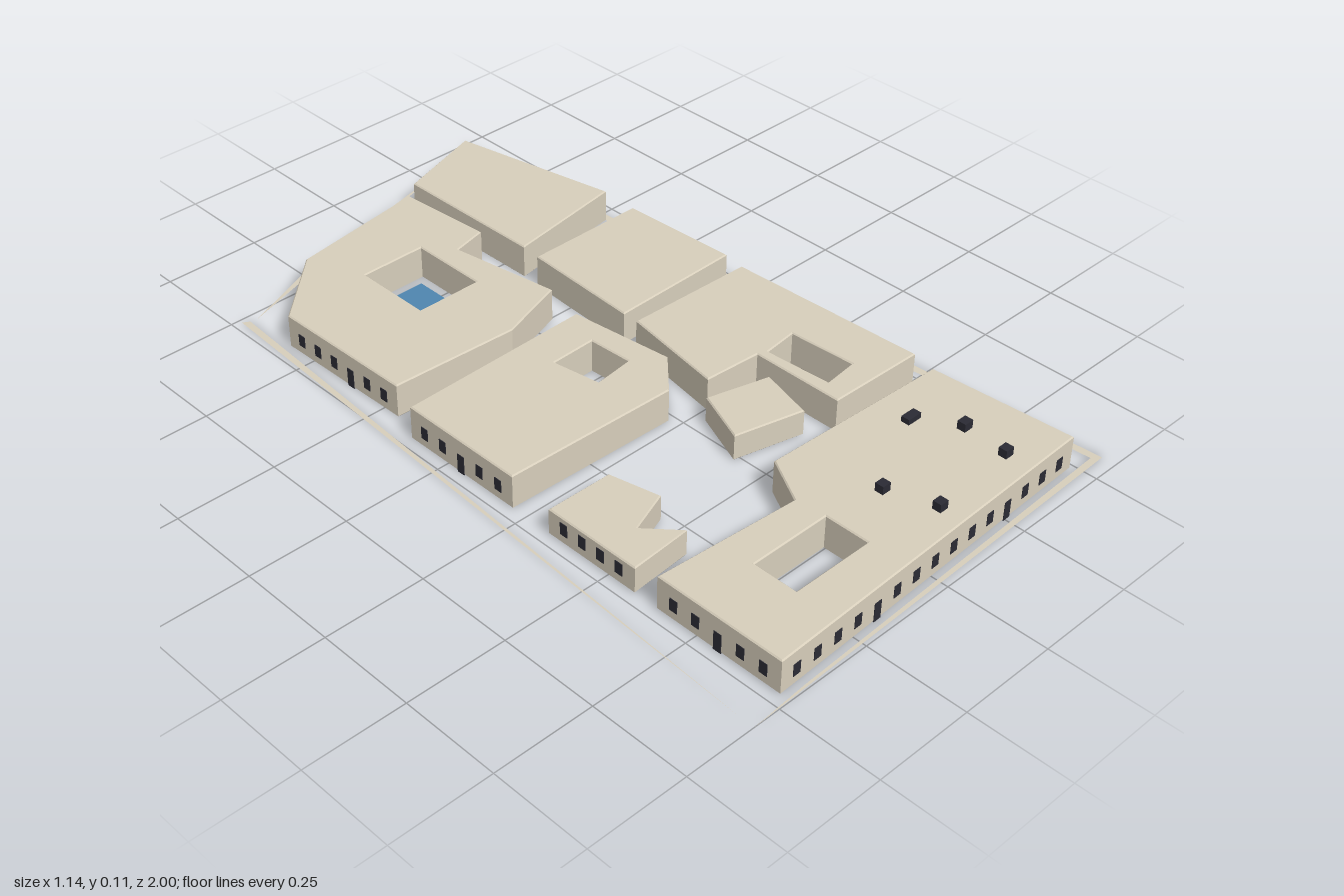
import * as THREE from 'three';

const stone = new THREE.MeshStandardMaterial({ color: 0xd8cfbc, side: THREE.DoubleSide });
stone.name = 'stone';
const dark = new THREE.MeshStandardMaterial({ color: 0x2b2b34 });
dark.name = 'dark openings';
const water = new THREE.MeshStandardMaterial({ color: 0x4f86b0 });
water.name = 'pool water';

const H = 0.088, LOW = 0.068, BEVEL = 0.003;

// Plan outlines as [x, z]; windows lists the edges (by start corner) on the street side
const blocks = [
  { name: 'poolHouse', h: H, windows: [0, 1, 7],
    plan: [[-.452, -.582], [-.277, -.742], [.083, -.794], [.103, -.545], [.013, -.524], [.059, -.243], [-.117, -.185], [-.444, -.201]],
    court: [[-.217, -.592], [-.047, -.592], [-.047, -.39], [-.217, -.39]] },
  { name: 'backRightHouse', h: H, windows: [0, 1],
    plan: [[.128, -.83], [.361, -.904], [.451, -.471], [.133, -.423]] },
  { name: 'squareHouse', h: H, windows: [1],
    plan: [[.128, -.37], [.446, -.37], [.461, -.063], [.112, -.055]] },
  { name: 'cornerHouse', h: H, windows: [1],
    plan: [[.112, -.015], [.451, -.005], [.474, .509], [.218, .504], [.218, .265], [.069, .255]],
    court: [[.243, .275], [.334, .265], [.344, .435], [.254, .445]] },
  { name: 'middleLeftHouse', h: H, windows: [4],
    plan: [[-.471, -.121], [.033, -.132], [.065, .133], [-.021, .224], [-.471, .211]],
    court: [[-.132, -.026], [-.015, -.029], [-.009, .083], [-.112, .095]] },
  { name: 'notchedHouse', h: LOW, windows: [5],
    plan: [[-.471, .323], [-.301, .325], [-.272, .452], [-.38, .492], [-.312, .567], [-.471, .578]] },
  { name: 'smallHouse', h: LOW, windows: [],
    plan: [[.038, .281], [.196, .323], [.159, .462], [-.017, .419]] },
  { name: 'frontHall', h: H, windows: [3, 4, 5],
    plan: [[-.471, .641], [-.101, .668], [-.037, .552], [.46, .572], [.486, .938], [-.471, .975]],
    court: [[-.305, .748], [-.093, .748], [-.093, .86], [-.305, .86]] },
];

// Flat strips that trace the site boundary
const strips = [
  [[-.477, -.74], [-.46, -.73], [-.569, .96]],
  [[-.444, -.726], [-.228, -.813], [.397, -.965], [-.223, -.796]],
  [[.421, -.973], [.433, -1], [.438, -.99], [.569, .964], [.549, .948], [.448, -.55]],
  [[.569, .964], [-.569, 1], [-.42, .989], [.549, .948]],
];

const toPoints = (plan) => plan.map(([x, z]) => new THREE.Vector2(x, -z));

function addMesh(parent, name, geometry, material) {
  const mesh = new THREE.Mesh(geometry, material);
  mesh.name = name;
  parent.add(mesh);
  return mesh;
}

function addBox(parent, name, material, size, position, turn = 0) {
  const mesh = addMesh(parent, name, new THREE.BoxGeometry(...size), material);
  mesh.position.set(...position);
  mesh.rotation.y = turn;
}

// Evenly spaced windows along a wall, with a door in the middle or two on a long wall
function addOpenings(parent, [ax, az], [bx, bz]) {
  const dx = bx - ax, dz = bz - az;
  const length = Math.hypot(dx, dz), margin = 0.046;
  const count = Math.max(2, Math.round((length - 2 * margin) / 0.06) + 1);
  const doors = count > 12 ? [3, 10] : [Math.floor((count - 1) / 2)];
  for (let i = 0; i < count; i++) {
    const t = (margin + (length - 2 * margin) * i / (count - 1)) / length;
    const isDoor = count > 4 && doors.includes(i);
    const [bottom, top] = isDoor ? [0, 0.048] : [0.023, 0.054];
    addBox(parent, isDoor ? 'door' : 'window', dark, [0.021, top - bottom, 0.003],
      [ax + dx * t, (bottom + top) / 2, az + dz * t], Math.atan2(-dz, dx));
  }
}

// Block with softly chamfered roof edges; the court outline runs opposite to the plan
function buildBlock({ name, h, windows, plan, court }) {
  const group = new THREE.Group();
  group.name = name;
  const shape = new THREE.Shape(toPoints(plan));
  if (court) shape.holes.push(new THREE.Path(toPoints(court).reverse()));
  const body = new THREE.ExtrudeGeometry(shape, {
    depth: h - 2 * BEVEL, bevelSize: BEVEL, bevelThickness: BEVEL, bevelOffset: -BEVEL, bevelSegments: 1,
  });
  body.rotateX(-Math.PI / 2).translate(0, BEVEL, 0);
  addMesh(group, 'walls', body, stone);
  for (const i of windows) addOpenings(group, plan[i], plan[(i + 1) % plan.length]);
  return group;
}

export function createModel() {
  const model = new THREE.Group();
  model.name = 'walledCompound';
  for (const block of blocks) model.add(buildBlock(block));

  // Pool in the courtyard
  addBox(model, 'pool', water, [0.12, 0.006, 0.156], [-0.131, 0.003, -0.49]);

  // Roof vents on the front hall: x, z, width, height
  const vents = [[.28, .659, .04, .014], [.34, .758, .026, .021], [.33, .876, .024, .021],
    [.093, .893, .024, .021], [.052, .774, .024, .021]];
  for (const [x, z, w, h] of vents) {
    addBox(model, 'roofVent', dark, [w, h, 0.022], [x, H + h / 2, z]);
  }

  // Site boundary
  for (const strip of strips) {
    const geometry = new THREE.ShapeGeometry(new THREE.Shape(toPoints(strip)));
    geometry.rotateX(-Math.PI / 2);
    addMesh(model, 'boundaryStrip', geometry, stone);
  }
  return model;
}
